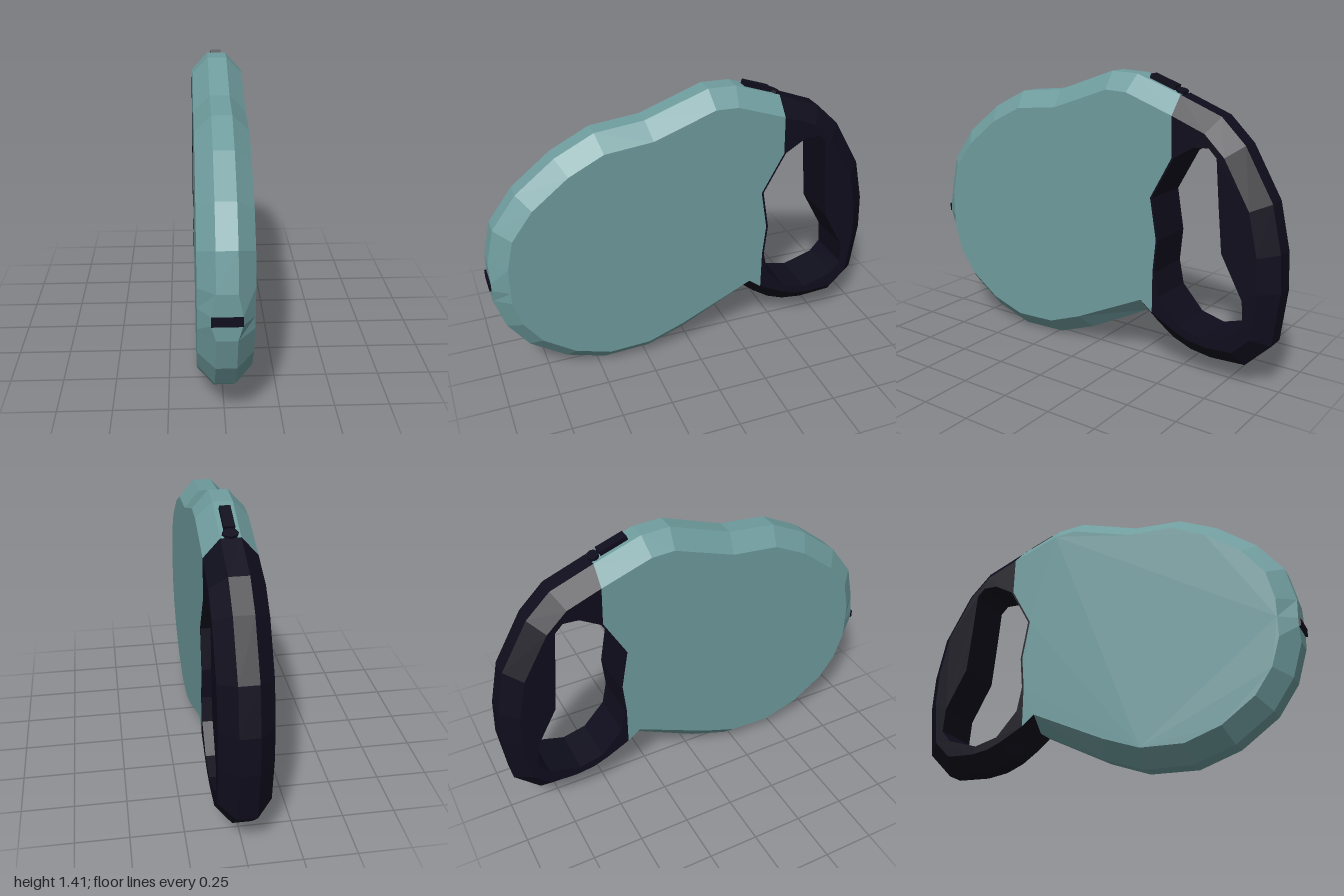
import * as THREE from 'three';

const HALF = 0.12, RIDGE = 0.045, BEVEL = 0.08;
const teal = new THREE.MeshStandardMaterial({ color: 0x6f9c9e, flatShading: true });
const dark = new THREE.MeshStandardMaterial({ color: 0x0f0d1c, flatShading: true });

// Side outlines as [z, y, ridge half-width], running along the bottom, up the front and back over the top
const caseOutline = [
  [-0.32, 0.26], [0.02, 0.085], [0.22, 0.01], [0.46, 0], [0.66, 0.065], [0.84, 0.19], [0.94, 0.33],
  [0.99, 0.49], [0.99, 0.56, 0.065], [0.99, 0.6, 0.065], [0.99, 0.7], [0.95, 0.87], [0.83, 1.03],
  [0.64, 1.18], [0.45, 1.275], [0.21, 1.3], [-0.1, 1.41], [-0.24, 1.405], [-0.47, 1.325],
];
const handleOutline = [
  [-0.47, 1.325], [-0.68, 1.245], [-0.8, 1.13], [-0.94, 0.89], [-0.99, 0.67], [-1, 0.49], [-0.97, 0.235],
  [-0.845, 0.11], [-0.67, 0.1], [-0.56, 0.115], [-0.47, 0.15], [-0.38, 0.21], [-0.32, 0.26],
];
// Rear edge of the case, from top to bottom
const rearEdge = [[-0.475, 1.05], [-0.365, 0.85], [-0.4, 0.65], [-0.385, 0.49]];
const gripHole = [
  [-0.485, 1.05], [-0.375, 0.85], [-0.41, 0.65], [-0.395, 0.49], [-0.42, 0.37], [-0.53, 0.25], [-0.65, 0.22],
  [-0.81, 0.27], [-0.86, 0.33], [-0.85, 0.45], [-0.74, 0.65], [-0.72, 0.85], [-0.7, 1.075], [-0.66, 1.115],
  [-0.585, 1.11],
];

// Moves each point of a closed loop inward by a mitred distance
function insetLoop(loop, d) {
  return loop.map(([z, y], i) => {
    const a = loop[(i + loop.length - 1) % loop.length], b = loop[(i + 1) % loop.length];
    const n1 = new THREE.Vector2(a[1] - y, z - a[0]).normalize();
    const n2 = new THREE.Vector2(y - b[1], b[0] - z).normalize();
    const m = n1.clone().add(n2).normalize();
    const k = d / m.dot(n2);
    return [z + m.x * k, y + m.y * k];
  });
}

// Strip between two side paths lying at x1 and x2 (x1 < x2)
function strip(out, p1, x1, p2, x2) {
  for (let i = 0; i + 1 < p1.length; i++) {
    const at = (p, x, j) => [typeof x === 'function' ? x(j) : x, p[j][1], p[j][0]];
    const A = at(p1, x1, i), B = at(p1, x1, i + 1), C = at(p2, x2, i + 1), D = at(p2, x2, i);
    out.push(...A, ...D, ...C, ...A, ...C, ...B);
  }
}

// Chamfered rim: bevel, ridge, bevel
function rim(out, outer, inner) {
  const r = (j) => outer[j][2] ?? RIDGE;
  strip(out, inner, -HALF, outer, (j) => -r(j));
  strip(out, outer, (j) => -r(j), outer, r);
  strip(out, outer, r, inner, HALF);
}

// Flat faces on both sides
function sides(out, contour, hole) {
  const vec = (p) => new THREE.Vector2(p[0], p[1]);
  const all = [...contour, ...(hole ?? [])];
  const faces = THREE.ShapeUtils.triangulateShape(contour.map(vec), hole ? [hole.map(vec)] : []);
  for (const [a, b, c] of faces) {
    for (const i of [a, b, c]) out.push(-HALF, all[i][1], all[i][0]);
    for (const i of [a, c, b]) out.push(HALF, all[i][1], all[i][0]);
  }
}

function addMesh(group, name, geometry, material) {
  const mesh = new THREE.Mesh(geometry, material);
  mesh.name = name;
  group.add(mesh);
  return mesh;
}

function fromTriangles(positions) {
  const g = new THREE.BufferGeometry();
  g.setAttribute('position', new THREE.Float32BufferAttribute(positions, 3));
  g.computeVertexNormals();
  return g;
}

export function createModel() {
  const group = new THREE.Group();

  // Shared inset outline, split where case and handle meet
  const n = caseOutline.length;
  const inset = insetLoop([...caseOutline, ...handleOutline.slice(1, -1)], BEVEL);
  inset[0] = [-0.32, 0.335];
  inset[n - 1] = [-0.47, 1.24];
  inset[inset.length - 1] = [-0.385, 0.285];
  const caseInset = inset.slice(0, n);
  const handleInset = [...inset.slice(n - 1), inset[0]];
  const heel = inset[inset.length - 1];

  // Round case
  const body = [];
  rim(body, caseOutline, caseInset);
  sides(body, [...caseInset, ...rearEdge, heel]);
  addMesh(group, 'case', fromTriangles(body), teal);

  // Handle loop with the lining of the grip opening
  const handle = [];
  rim(handle, handleOutline, handleInset);
  sides(handle, [...handleInset.slice(0, -1), ...[...rearEdge].reverse()], gripHole);
  const closedHole = [...gripHole, gripHole[0]];
  strip(handle, closedHole, -HALF, closedHole, HALF);
  addMesh(group, 'handle', fromTriangles(handle), dark);

  // Outlet slot at the front
  addMesh(group, 'outletSlot', new THREE.BoxGeometry(0.13, 0.04, 0.03), dark).position.set(0, 0.58, 0.985);

  // Brake button and its small catch, lying along the top slope
  const slope = -Math.atan2(0.08, 0.23);
  const button = addMesh(group, 'brakeButton', new THREE.BoxGeometry(0.05, 0.03, 0.14), dark);
  button.position.set(0, 1.37, -0.362);
  button.rotation.x = slope;
  const catchPiece = addMesh(group, 'buttonCatch', new THREE.CylinderGeometry(0.036, 0.036, 0.025, 8), dark);
  catchPiece.position.set(0, 1.332, -0.452);
  catchPiece.rotation.x = slope;
  catchPiece.scale.z = 0.75;

  return group;
}
